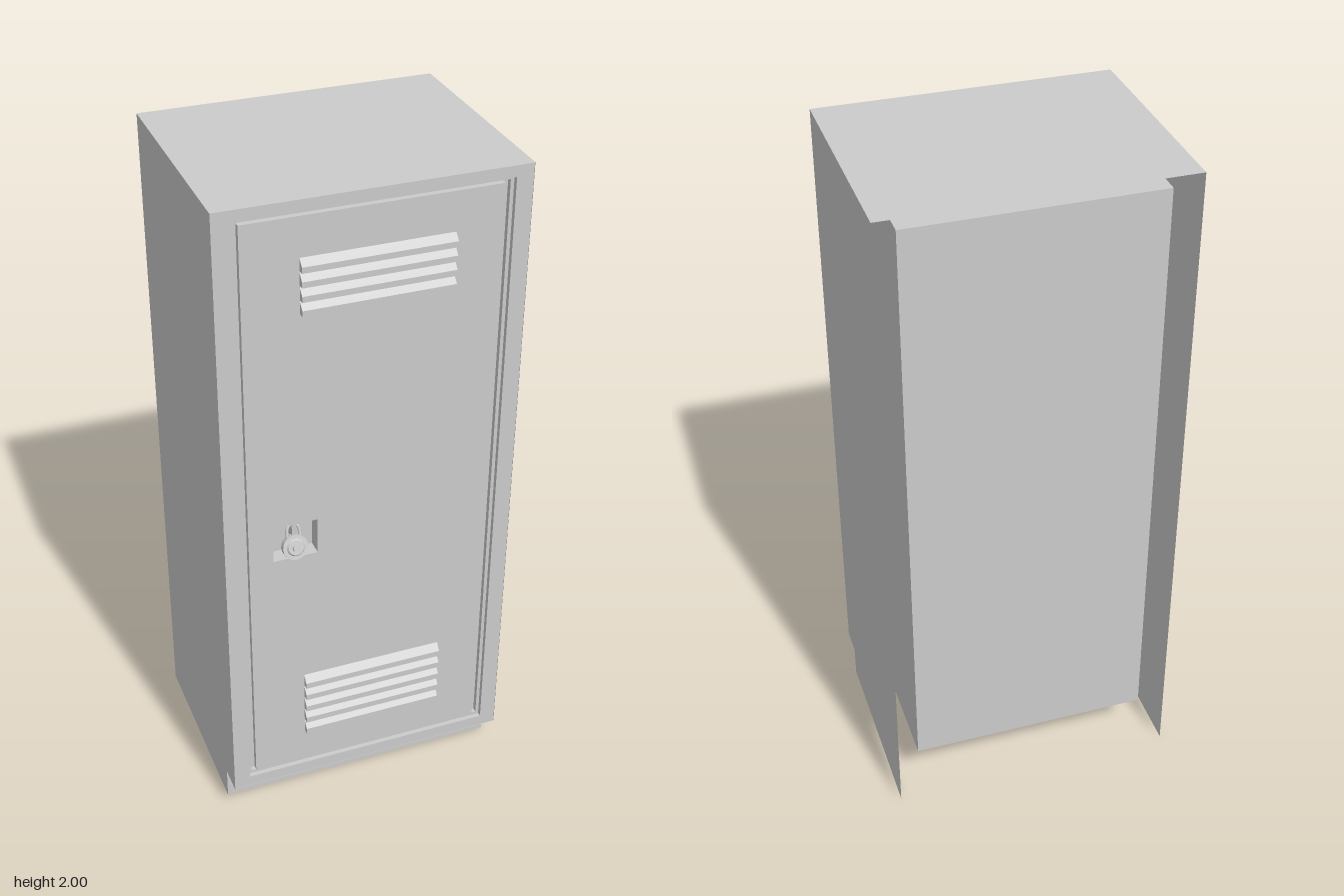
import * as THREE from 'three';

const solid = new THREE.MeshStandardMaterial({ color: 0xcccccc });
const sheet = new THREE.MeshStandardMaterial({ color: 0xcccccc, side: THREE.DoubleSide });

const W = 0.43, BACK = -0.337, FRONT = 0.331, KICK_Z = 0.25, KICK_Y = 0.1;
const DOOR_Z = 0.319, FLOOR_Z = 0.302;

function add(parent, name, geometry, x = 0, y = 0, z = 0, material = solid) {
  const mesh = new THREE.Mesh(geometry, material);
  mesh.name = name;
  mesh.position.set(x, y, z);
  parent.add(mesh);
  return mesh;
}

// Rectangles are [x0, y0, x1, y1]
function corners([x0, y0, x1, y1]) {
  return [[x0, y0], [x1, y0], [x1, y1], [x0, y1]].map(([x, y]) => new THREE.Vector2(x, y));
}

// Rectangular plate from z0 to z1, with an optional rectangular opening
function plate(outer, z0, z1, hole) {
  const shape = new THREE.Shape(corners(outer));
  if (hole) shape.holes.push(new THREE.Path(corners(hole)));
  return new THREE.ExtrudeGeometry(shape, { depth: z1 - z0, bevelEnabled: false }).translate(0, 0, z0);
}

const inset = ([x0, y0, x1, y1], d) => [x0 + d, y0 + d, x1 - d, y1 - d];

// Box with a back and four walls, open to the front
function tub(parent, name, rect, z0, z1, wall) {
  const group = new THREE.Group();
  group.name = name;
  add(group, name + 'Walls', plate(rect, z0, z1, inset(rect, wall)));
  add(group, name + 'Back', plate(inset(rect, wall / 2), z0, z0 + wall));
  parent.add(group);
}

// A bank of pressed louvers running along x
function louvers(parent, name, count, yBottom, yTop) {
  const group = new THREE.Group();
  group.name = name;
  const pitch = (yTop - yBottom) / count, x0 = -0.2, x1 = 0.225;
  const out = 0.337 - DOOR_Z;
  const profile = new THREE.Shape([
    [0, 0.08], [out, 0.08], [out, 0.5], [0, 0.96],
  ].map(([z, y]) => new THREE.Vector2(-z, y * pitch)));
  for (let i = 0; i < count; i++) {
    const geometry = new THREE.ExtrudeGeometry(profile, { depth: x1 - x0, bevelEnabled: false });
    geometry.rotateY(Math.PI / 2);
    add(group, 'louver', geometry, x0, yBottom + i * pitch, DOOR_Z);
  }
  parent.add(group);
}

function buildCabinet(parent) {
  // Side sheets with the toe notch
  const side = new THREE.Shape([
    [BACK, 0], [KICK_Z, 0], [KICK_Z, KICK_Y], [FRONT, KICK_Y], [FRONT, 2], [BACK, 2],
  ].map(([z, y]) => new THREE.Vector2(z, y)));
  for (const s of [-1, 1]) {
    add(parent, s > 0 ? 'leftSide' : 'rightSide',
      new THREE.ShapeGeometry(side).rotateY(-Math.PI / 2), s * W, 0, 0, sheet);
  }
  // Roof, toe ledge and kick plate
  const flat = (d) => new THREE.PlaneGeometry(2 * W, d).rotateX(-Math.PI / 2);
  add(parent, 'roof', flat(FRONT - BACK), 0, 2, (FRONT + BACK) / 2, sheet);
  add(parent, 'toeLedge', flat(FRONT - KICK_Z), 0, KICK_Y, (FRONT + KICK_Z) / 2, sheet);
  add(parent, 'kickPlate', new THREE.PlaneGeometry(2 * W, KICK_Y), 0, KICK_Y / 2, KICK_Z, sheet);

  // Front frame, stepped rebate and inner compartment
  const opening = [-0.381, 0.136, 0.381, 1.967];
  add(parent, 'frontFrame', plate([-0.429, 0.101, 0.429, 1.999], FLOOR_Z, FRONT, opening));
  add(parent, 'frameStep', plate(opening, FLOOR_Z, 0.317, inset(opening, 0.01)));
  add(parent, 'doorStop', plate(opening, FLOOR_Z - 0.004, FLOOR_Z, inset(opening, 0.035)));
  tub(parent, 'compartment', [-0.361, 0.15, 0.361, 1.95], -0.3, FLOOR_Z - 0.004, 0.006);
}

function buildLock(parent) {
  const lock = new THREE.Group();
  lock.name = 'padlock';
  lock.position.set(-0.221, 0.947, 0.312);
  lock.rotation.x = -0.28;
  parent.add(lock);
  // Disc body with stepped dial
  const disc = (name, r0, r1, depth, z) => add(lock, name,
    new THREE.CylinderGeometry(r1, r0, depth, 20).rotateX(Math.PI / 2), 0, 0, z);
  disc('lockBody', 0.037, 0.037, 0.018, 0);
  disc('lockDial', 0.026, 0.022, 0.005, 0.0115);
  disc('lockKnob', 0.011, 0.009, 0.006, 0.0165);
  // Shackle
  const arch = [[-0.018, 0.02], [-0.018, 0.05], [-0.012, 0.063], [0, 0.068],
    [0.012, 0.063], [0.018, 0.05], [0.018, 0.02]];
  const path = new THREE.CatmullRomCurve3(arch.map(([x, y]) => new THREE.Vector3(x, y, 0)));
  add(lock, 'shackle', new THREE.TubeGeometry(path, 20, 0.005, 8));
}

function buildDoor(parent) {
  const door = new THREE.Group();
  door.name = 'door';
  parent.add(door);
  const pocket = [-0.286, 0.915, -0.156, 1.028];
  add(door, 'doorPanel', plate([-0.357, 0.147, 0.357, 1.95], FLOOR_Z, DOOR_Z, pocket));
  tub(door, 'latchPocket', inset(pocket, -0.003), 0.27, DOOR_Z - 0.001, 0.003);
  // Latch lug that carries the padlock
  add(door, 'latchLug', new THREE.BoxGeometry(0.012, 0.05, 0.034), -0.221, 0.995, 0.289);
  louvers(door, 'upperVent', 4, 1.675, 1.838);
  louvers(door, 'lowerVent', 5, 0.253, 0.477);
  buildLock(door);
}

export function createModel() {
  const model = new THREE.Group();
  model.name = 'locker';
  buildCabinet(model);
  buildDoor(model);
  return model;
}
